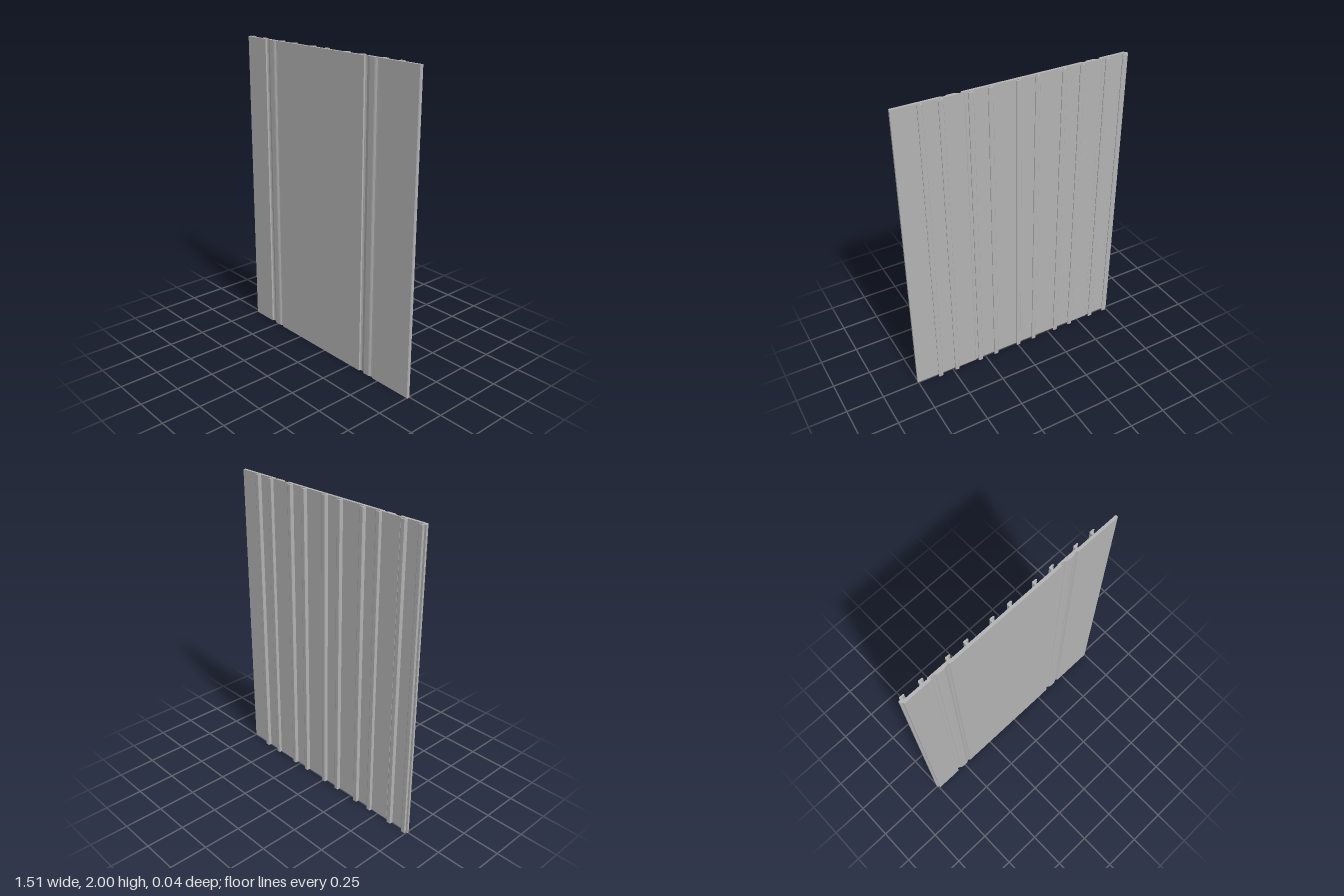
import * as THREE from 'three';

const HEIGHT = 2;

// Extrudes a plan outline of [x, z] points from the ground up to the full height.
function extrudePlan(points) {
  const shape = new THREE.Shape(points.map(([x, z]) => new THREE.Vector2(x, -z)));
  const geometry = new THREE.ExtrudeGeometry(shape, { depth: HEIGHT, bevelEnabled: false });
  return geometry.rotateX(-Math.PI / 2);
}

export function createModel() {
  const group = new THREE.Group();
  const cladding = new THREE.MeshStandardMaterial({ color: 0xb3b3b3 });
  cladding.name = 'grey cladding';

  const add = (name, points) => {
    const mesh = new THREE.Mesh(extrudePlan(points), cladding);
    mesh.name = name;
    group.add(mesh);
    return mesh;
  };

  const back = 0.002, front = 0.02;

  // Front of a board joint: sharp step, raised overlap, then a soft shallow dip
  const jointFront = (x) => [
    [x, front], [x, 0.008], [x + 0.012, 0.005], [x + 0.024, 0.008],
    [x + 0.036, 0.017], [x + 0.044, front], [x + 0.083, front],
    [x + 0.09, 0.018], [x + 0.1, 0.012], [x + 0.112, 0.011], [x + 0.12, front],
  ];
  // Back of the same joint, where the overlap stands slightly proud
  const jointBack = (x) => [
    [x + 0.125, back], [x + 0.12, -0.003], [x - 0.01, -0.003], [x - 0.015, back],
  ];

  // Boards as one continuous sheet with two lap joints
  const joints = [-0.565, 0.335];
  add('boards', [
    [-0.745, front], ...joints.flatMap(jointFront), [0.75, front], [0.755, 0.016],
    [0.755, back], ...[...joints].reverse().flatMap(jointBack), [-0.745, back],
  ]);

  // Tongue along the left-hand edge of the sheet
  add('edgeTongue', [[-0.757, -0.009], [-0.757, 0.002], [-0.745, 0.012], [-0.738, 0.012], [-0.738, -0.009]]);

  // Hooked fixing ribs on the back, in pairs
  const rib = [
    [0, 0.003], [0.013, 0.003], [0.013, -0.012], [0.026, -0.012], [0.031, -0.015],
    [0.031, -0.019], [0.026, -0.022], [0.003, -0.022], [0, -0.019],
  ];
  for (let i = 0; i < 5; i++) {
    for (const offset of [0, 0.122]) {
      const x = -0.744 + i * 0.3 + offset;
      add('fixingRib', rib.map(([dx, z]) => [x + dx, z]));
    }
  }

  return group;
}
